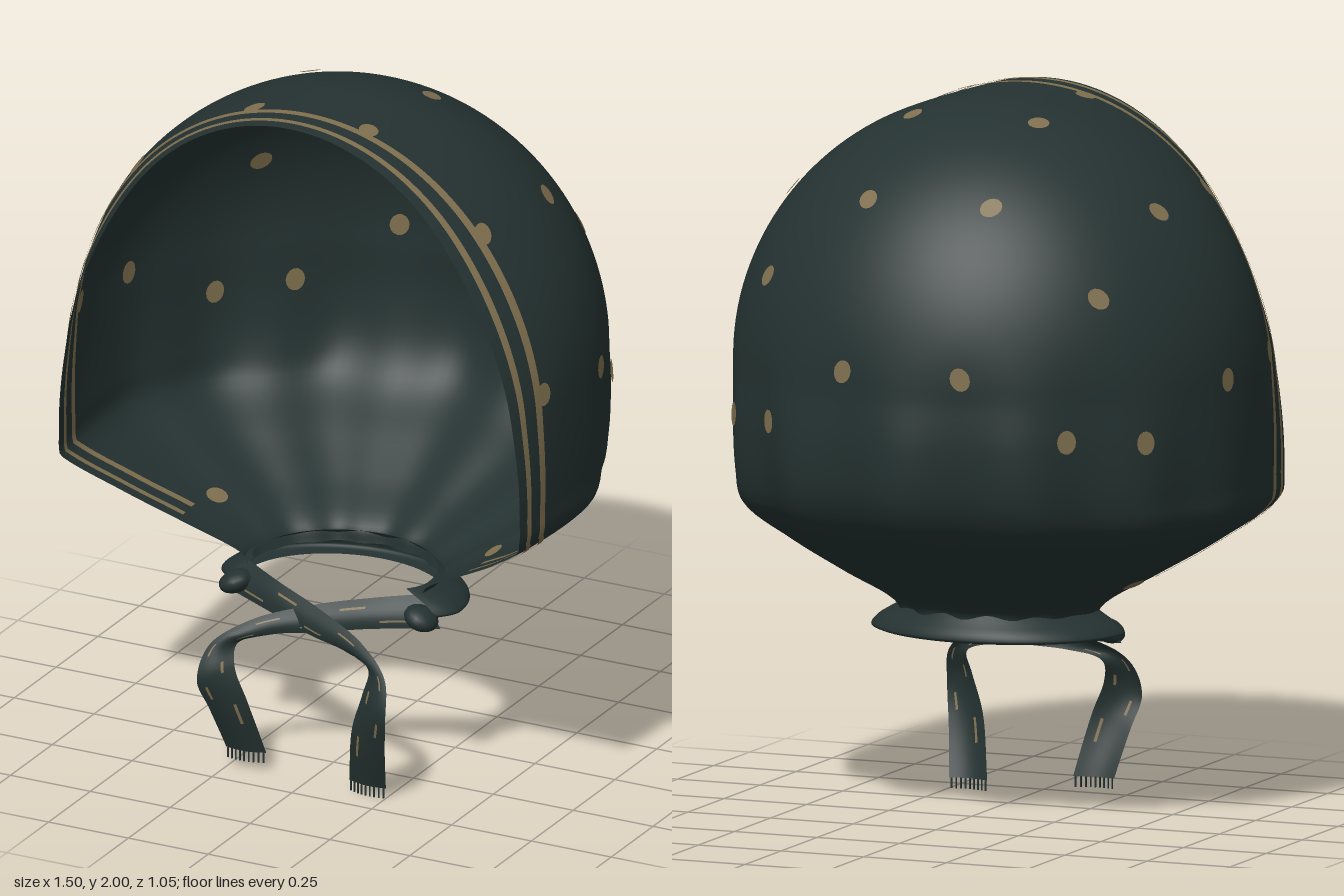
import * as THREE from 'three';
import { mergeVertices } from 'three/addons/utils/BufferGeometryUtils.js';

const V = (x, y, z) => new THREE.Vector3(x, y, z);
const { clamp, smoothstep } = THREE.MathUtils;

// Grid surface from a function of (u, v), smooth normals
function grid(fn, nu, nv) {
  const pos = [], idx = [];
  for (let j = 0; j <= nv; j++)
    for (let i = 0; i <= nu; i++) pos.push(...fn(i / nu, j / nv).toArray());
  for (let j = 0; j < nv; j++)
    for (let i = 0; i < nu; i++) {
      const a = j * (nu + 1) + i, b = a + nu + 1;
      idx.push(a, a + 1, b, a + 1, b + 1, b);
    }
  let g = new THREE.BufferGeometry();
  g.setAttribute('position', new THREE.Float32BufferAttribute(pos, 3));
  g.setIndex(idx);
  g = mergeVertices(g, 1e-5);
  g.computeVertexNormals();
  return g;
}

// Lower hood profile: half width, height, depth behind the side line
const lower = new THREE.CatmullRomCurve3([
  [0.75, 1.25, 0.71], [0.75, 1.1, 0.72], [0.745, 0.96, 0.70], [0.735, 0.87, 0.65],
  [0.6, 0.76, 0.51], [0.45, 0.67, 0.39], [0.3, 0.58, 0.26], [0.275, 0.54, 0.25],
].map(p => V(...p)));
const SIDE_Z = 0.2;

function profile(v) {
  if (v < 0.5) {
    const a = v * Math.PI, w = 0.75 * Math.sin(a);
    return { w, y: 1.25 + 0.75 * Math.cos(a), d: w * 0.947 };
  }
  const p = lower.getPoint((v - 0.5) * 2);
  return { w: p.x, y: p.y, d: p.z };
}
const rimZ = y => 0.515 - 0.265 * Math.pow(clamp((0.88 - y) / 0.31, 0, 1), 0.9);

// U-shaped section: t = -1 right rim, 0 middle of the back, 1 left rim
function section(w, y, d, zf, t, narrow, ripple) {
  const m = Math.abs(t), sgn = Math.sign(t);
  if (m < 0.7) {
    const a = t / 0.7 * Math.PI / 2;
    const r = 1 + ripple * Math.cos(13 * a) * Math.cos(a);
    return V(w * r * Math.sin(a), y, SIDE_Z - d * r * Math.cos(a));
  }
  const s = (m - 0.7) / 0.3;
  return V(sgn * w * (1 - narrow * s * s), y, SIDE_Z + (zf - SIDE_Z) * s);
}
function hoodPoint(t, v) {
  const { w, y, d } = profile(v);
  const narrow = 0.03 + 0.12 * smoothstep(y, 0.9, 1.75);
  return section(w, y, d, rimZ(y), t, narrow, 0.028 * (1 - smoothstep(y, 0.85, 1.45)));
}
function hoodNormal(t, v) {
  const p = hoodPoint(t, v), out = V(p.x, p.y - 1.2, Math.min(p.z - SIDE_Z, 0)).normalize();
  if (v < 0.02) return out;
  const e = 0.004;
  const n = hoodPoint(Math.min(t + e, 1), v).sub(hoodPoint(Math.max(t - e, -1), v))
    .cross(hoodPoint(t, Math.min(v + e, 1)).sub(hoodPoint(t, v - e))).normalize();
  return n.dot(out) < 0 ? n.negate() : n;
}

export function createModel() {
  const model = new THREE.Group();
  model.name = 'tiedHeadscarf';
  const cloth = new THREE.MeshStandardMaterial({ color: 0x243231, side: THREE.DoubleSide });
  cloth.name = 'dark green cloth';
  const gold = new THREE.MeshStandardMaterial({ color: 0x80704f, side: THREE.DoubleSide });
  gold.name = 'dull gold';
  const add = (geo, mat, name, parent = model) => {
    const m = new THREE.Mesh(geo, mat);
    m.name = name;
    parent.add(m);
    return m;
  };

  // Hood
  add(grid((u, v) => hoodPoint(2 * u - 1, v), 128, 80), cloth, 'hood');

  // Stripes along the front rim, on both faces of the cloth
  let vEnd = 0.5;
  while (rimZ(profile(vEnd).y) - SIDE_Z > 0.135) vEnd += 0.005;
  const stripes = new THREE.Group();
  stripes.name = 'rimStripes';
  model.add(stripes);
  for (const side of [-1, 1])
    for (const off of [0.004, -0.004])
      for (const [a, b] of [[0.03, 0.05], [0.092, 0.117]])
        add(grid((u, k) => {
          const v = k * vEnd, dist = a + (b - a) * u;
          const s = 1 - dist / (rimZ(profile(v).y) - SIDE_Z);
          const t = side * (0.7 + 0.3 * s);
          return hoodPoint(t, v).addScaledVector(hoodNormal(t, v), off);
        }, 2, 80), gold, 'rimStripe', stripes);

  // Scattered dots, snapped to the hood surface
  const dots = new THREE.Group();
  dots.name = 'dots';
  model.add(dots);
  const spots = [
    [0.18, 1.76, -0.28], [0.18, 1.32, -0.5], [0.5, 1.53, -0.27], [0.44, 1.14, -0.37],
    [0.63, 1.13, -0.22], [0.56, 1.74, 0.03], [0.19, 1.95, 0.03], [0.74, 1.27, 0.07],
    [0.53, 1.74, 0.39], [0.72, 1.29, 0.39], [0.18, 1.97, 0.385], [0.43, 0.66, 0.12],
  ];
  const dotGeo = new THREE.CircleGeometry(0.028, 14);
  for (const s of spots) {
    const target = V(...s);
    let best = Infinity, bt = 0, bv = 0;
    for (let i = 0; i <= 150; i++)
      for (let j = 3; j <= 150; j++) {
        const q = hoodPoint(i / 150, j / 150).distanceToSquared(target);
        if (q < best) { best = q; bt = i / 150; bv = j / 150; }
      }
    for (const side of [-1, 1])
      for (const off of [0.006, -0.006]) {
        const p = hoodPoint(side * bt, bv), n = hoodNormal(side * bt, bv);
        const m = add(dotGeo, gold, 'dot', dots);
        m.position.copy(p).addScaledVector(n, off);
        m.quaternion.setFromUnitVectors(V(0, 0, 1), n);
        m.scale.y = 1.2;
      }
  }

  // Flared neckband, open at the front
  const band = new THREE.CatmullRomCurve3([
    [0.27, 0.575, 0.25], [0.315, 0.55, 0.27], [0.355, 0.525, 0.29], [0.37, 0.505, 0.295], [0.3, 0.5, 0.25],
  ].map(p => V(...p)));
  add(grid((u, v) => {
    const p = band.getPoint(v);
    return section(p.x, p.y, p.z, 0.27, 2 * u - 1, 0.12, 0);
  }, 64, 12), cloth, 'neckband');

  // Ties: a ribbon between two edge curves, crossing and hanging down
  const edge = pts => new THREE.CatmullRomCurve3(pts.map(p => V(...p)));
  const outer = edge([[-0.29, 0.555, 0.23], [-0.15, 0.535, 0.30], [0.02, 0.5, 0.36], [0.18, 0.45, 0.42],
    [0.275, 0.38, 0.47], [0.295, 0.28, 0.505], [0.275, 0.17, 0.47], [0.25, 0.03, 0.415]]);
  const inner = edge([[-0.34, 0.47, 0.26], [-0.15, 0.455, 0.34], [0, 0.43, 0.385], [0.12, 0.415, 0.41],
    [0.205, 0.385, 0.435], [0.2, 0.32, 0.46], [0.165, 0.21, 0.455], [0.13, 0.03, 0.405]]);
  for (const side of [1, -1]) {
    const tie = new THREE.Group();
    tie.name = side > 0 ? 'leftTie' : 'rightTie';
    model.add(tie);
    const point = (u, v, off) => {
      const p = outer.getPoint(v).lerp(inner.getPoint(v), u);
      p.z += off + 0.012 * Math.sin(u * Math.PI);
      if (side < 0) {
        p.z -= 0.025 * Math.sin(Math.min(v * 2, 1) * Math.PI);
        p.y += 0.03 * smoothstep(v, 0.6, 1);
      }
      p.x *= side;
      return p;
    };
    add(grid((u, v) => point(u, v, 0), 8, 60), cloth, 'tieRibbon', tie);
    // Broken gold lines on the ribbon
    for (let i = 0; i < 9; i++) {
      const u0 = i % 2 ? 0.22 : 0.7, v0 = 0.06 + i * 0.1;
      for (const off of [0.005, -0.005])
        add(grid((u, v) => point(u0 + 0.07 * u, v0 + 0.06 * v, off), 1, 6), gold, 'tieDash', tie);
    }
    // Fringe
    for (let i = 0; i < 9; i++) {
      const p = point((i + 0.5) / 9, 1, 0);
      const thread = add(new THREE.BoxGeometry(0.004, 0.03, 0.004), cloth, 'fringeThread', tie);
      thread.position.set(p.x, p.y - 0.015, p.z);
    }
    // Bunched knot where the tie leaves the neckband
    const knot = add(new THREE.SphereGeometry(1, 16, 12), cloth, 'knot', tie);
    knot.scale.set(0.05, 0.032, 0.05);
    knot.position.set(-side * 0.29, 0.5, 0.28);
    knot.rotation.z = side * 0.4;
  }
  return model;
}
